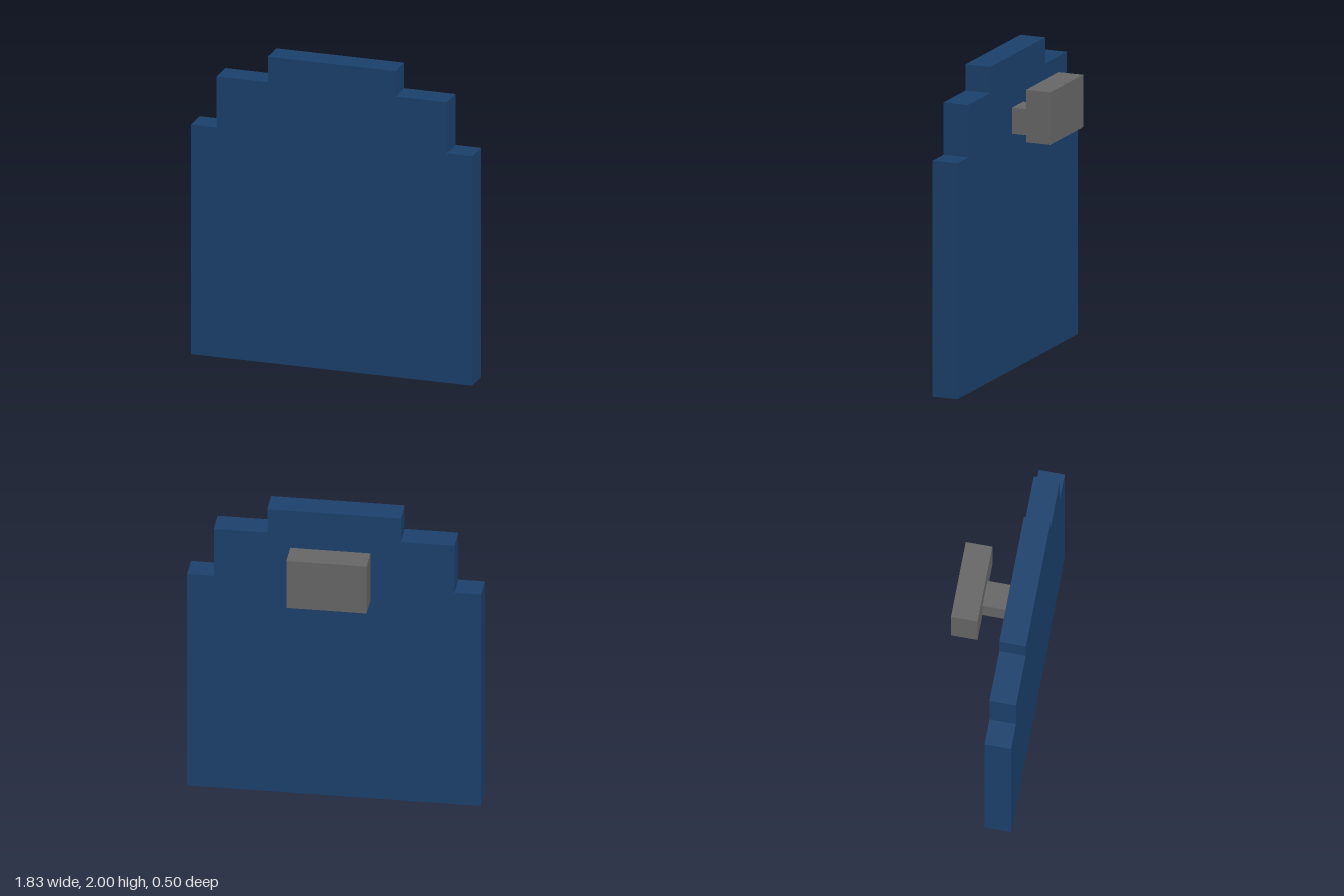
import * as THREE from 'three';

const U = 1 / 6; // one grid step; all sizes are whole steps

export function createModel() {
  const model = new THREE.Group();
  model.name = 'steppedPanelWithClip';
  const blue = new THREE.MeshStandardMaterial({ color: 0x1b406c });
  const grey = new THREE.MeshStandardMaterial({ color: 0x666666 });

  // Panel: right half of the stepped outline, mirrored to the left
  const half = [[5.5, 0], [5.5, 9], [4.5, 9], [4.5, 11], [2.5, 11], [2.5, 12]];
  const outline = [...half, ...half.map(([x, y]) => [-x, y]).reverse()];
  const shape = new THREE.Shape(outline.map(([x, y]) => new THREE.Vector2(x * U, y * U)));
  const panel = new THREE.Mesh(
    new THREE.ExtrudeGeometry(shape, { depth: U, bevelEnabled: false }), blue);
  panel.name = 'panel';
  panel.position.z = U / 2;
  model.add(panel);

  // Clip on the back: a short stem carrying a wide upright bar
  const clip = new THREE.Group();
  clip.name = 'clip';
  const addBox = (name, w, h, z) => {
    const mesh = new THREE.Mesh(new THREE.BoxGeometry(w * U, h * U, U), grey);
    mesh.name = name;
    mesh.position.set(0, (9 + h / 2) * U, z * U);
    clip.add(mesh);
  };
  addBox('clipStem', 1, 1, 0);
  addBox('clipBar', 3, 2, -1);
  model.add(clip);

  return model;
}
